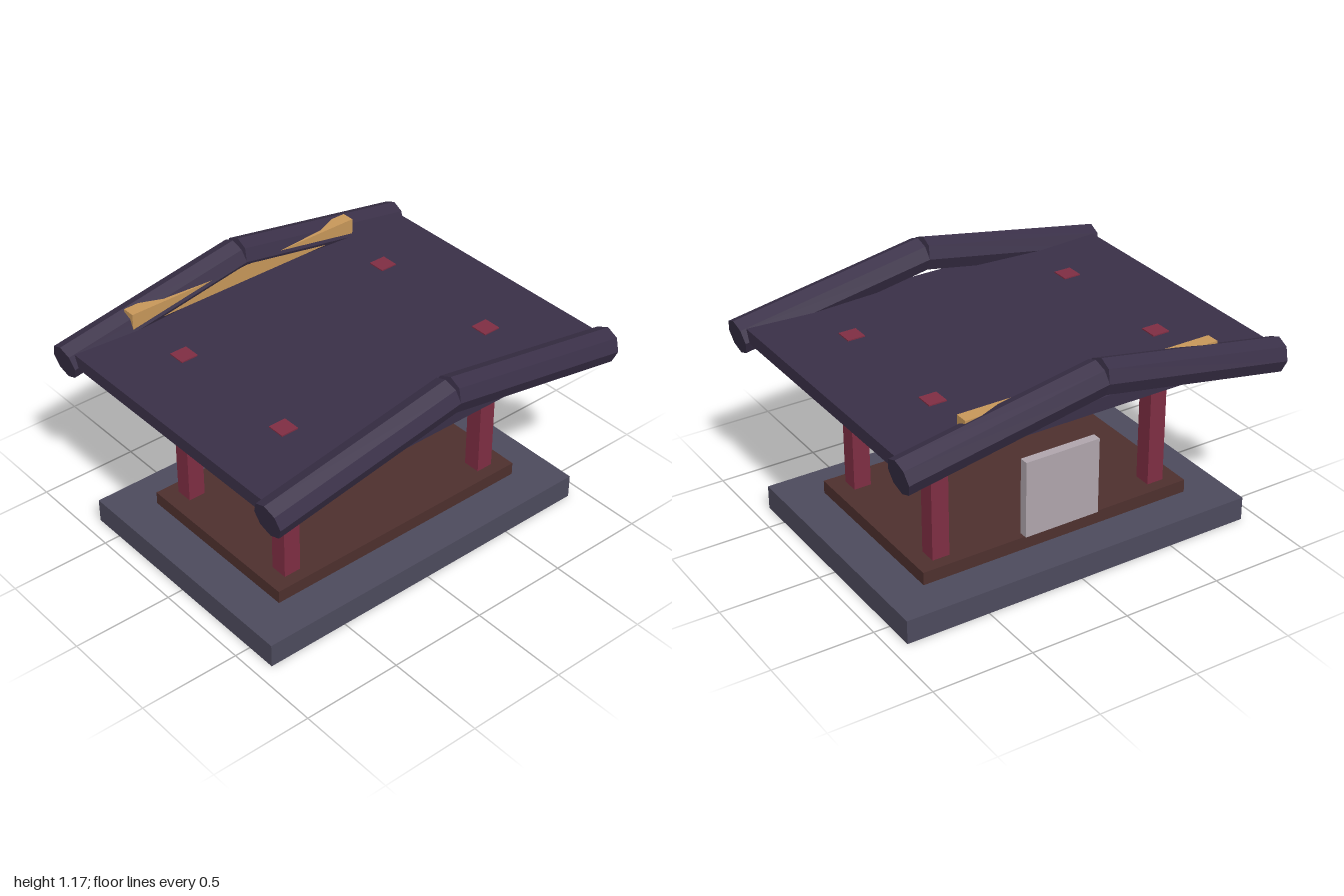
import * as THREE from 'three';

const mat = (name, color) => {
  const m = new THREE.MeshStandardMaterial({ color });
  m.name = name;
  return m;
};

export function createModel() {
  const group = new THREE.Group();
  const stone = mat('slate stone', 0x4d4b5d);
  const wood = mat('dark brown wood', 0x4e302e);
  const red = mat('crimson lacquer', 0x7f2e43);
  const roof = mat('dark purple tile', 0x3a3048);
  const gold = mat('ochre wood', 0xc8985a);
  const paper = mat('pale paper', 0xb0a6ad);

  const box = (name, material, [x0, x1], [y0, y1], [z0, z1]) => {
    const mesh = new THREE.Mesh(new THREE.BoxGeometry(x1 - x0, y1 - y0, z1 - z0), material);
    mesh.position.set((x0 + x1) / 2, (y0 + y1) / 2, (z0 + z1) / 2);
    mesh.name = name;
    group.add(mesh);
  };

  // Stepped platform
  box('stoneBase', stone, [-0.92, 0.92], [0, 0.12], [-0.655, 0.655]);
  box('floor', wood, [-0.72, 0.72], [0.12, 0.185], [-0.46, 0.46]);

  // Four square pillars, just poking through the roof slab
  for (const x of [-0.592, 0.592]) {
    for (const z of [-0.355, 0.355]) {
      box('pillar', red, [x - 0.044, x + 0.044], [0.185, 0.976], [z - 0.044, z + 0.044]);
    }
  }

  // Flat roof, rear beam and rear screen
  box('roofSlab', roof, [-0.965, 0.965], [0.905, 0.97], [-0.735, 0.735]);
  box('rearBeam', gold, [-0.655, 0.655], [0.98, 1.06], [-0.72, -0.655]);
  box('rearScreen', paper, [-0.198, 0.198], [0.2, 0.592], [-0.488, -0.443]);

  // Sloping octagonal ridge rolls along the front and back
  const rollMat = roof.clone();
  rollMat.flatShading = true;
  const roll = new THREE.CylinderGeometry(0.086, 0.086, 1, 8).toNonIndexed();
  roll.computeVertexNormals();
  roll.rotateZ(Math.PI / 2);
  for (const side of [-1, 1]) {
    for (const z of [-0.735, 0.735]) {
      const mesh = new THREE.Mesh(roll, roof);
      mesh.position.set(side * 0.492, 0.994, z);
      mesh.rotation.z = -side * THREE.MathUtils.degToRad(10);
      mesh.name = 'ridgeRoll';
      group.add(mesh);
    }
  }
  return group;
}
